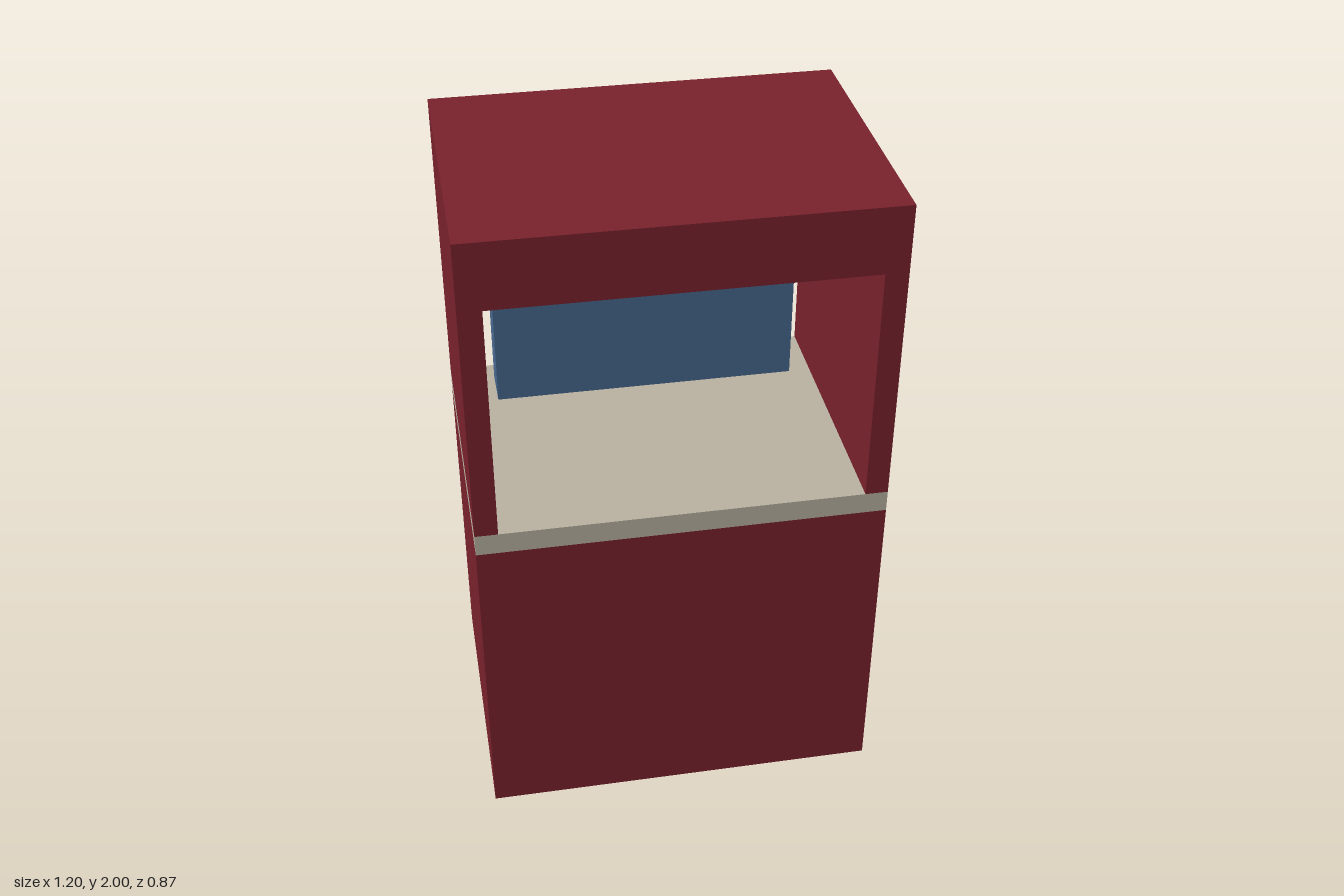
import * as THREE from 'three';

export function createModel() {
  const model = new THREE.Group();
  model.name = 'booth';

  const mat = (name, color) => {
    const m = new THREE.MeshStandardMaterial({ color });
    m.name = name;
    return m;
  };
  const red = mat('dark red', 0x7a222c);
  const stone = mat('warm grey', 0xbab3a2);
  const blue = mat('slate blue', 0x47688f);

  const W = 1.2, D = 0.867, T = 0.067;
  const counterTop = 1 + T, roofBottom = 1.8;

  // Box spanning y0..y1, centred on x and z
  const box = (name, material, w, y0, y1, d, x = 0, z = 0) => {
    const mesh = new THREE.Mesh(new THREE.BoxGeometry(w, y1 - y0, d), material);
    mesh.position.set(x, (y0 + y1) / 2, z);
    mesh.name = name;
    model.add(mesh);
  };

  // Solid base, counter slab and roof block
  box('base', red, W, 0, 1, D);
  box('counter', stone, W, 1, counterTop, D);
  box('roof', red, W, roofBottom, 2, D);

  // Side walls around the through opening
  for (const [side, name] of [[1, 'leftWall'], [-1, 'rightWall']]) {
    box(name, red, T, counterTop, roofBottom, D, side * (W - T) / 2);
  }

  // Free-standing panel set in from the back
  box('backPanel', blue, 0.933, counterTop, roofBottom, 0.133, 0, -0.3);

  return model;
}
